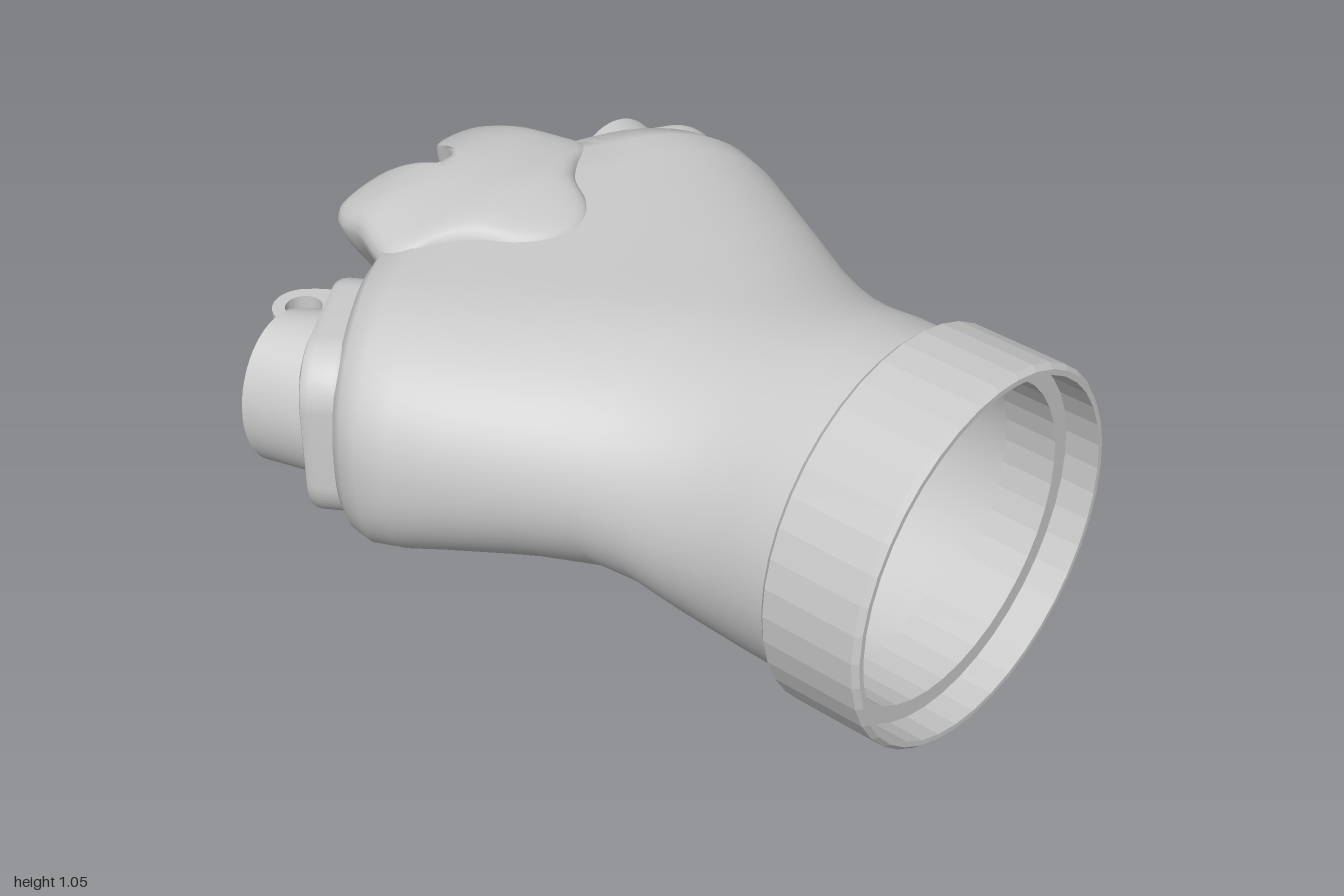
import * as THREE from 'three';
import { toCreasedNormals } from 'three/addons/utils/BufferGeometryUtils.js';

const material = new THREE.MeshStandardMaterial({ color: 0xcccccc, side: THREE.DoubleSide });
const { smoothstep } = THREE.MathUtils;

function part(name, geometry, parent, crease = 0.6) {
  const mesh = new THREE.Mesh(toCreasedNormals(geometry, crease), material);
  mesh.name = name;
  parent.add(mesh);
  return mesh;
}

// Skin over rows of [x, y, z] points
function skin(rows) {
  const n = rows[0].length, index = [];
  for (let i = 0; i < rows.length - 1; i++)
    for (let j = 0; j < n - 1; j++) {
      const a = i * n + j, b = a + n;
      index.push(a, a + 1, b, b, a + 1, b + 1);
    }
  const g = new THREE.BufferGeometry();
  g.setAttribute('position', new THREE.Float32BufferAttribute(rows.flat(2), 3));
  g.setIndex(index);
  return g;
}

// Body sections: side z, half width, top, bottom, half length of flat, V amount, dip between branches
const SECTIONS = [
  [0.75, 0.48, 1.005, 0.04, 0, 0, 0],
  [0.55, 0.48, 1.0, 0.045, 0, 0, 0],
  [0.45, 0.485, 0.985, 0.06, 0, 0, 0],
  [0.35, 0.51, 0.97, 0.1, 0, 0, 0],
  [0.25, 0.545, 0.955, 0.165, 0, 0, 0],
  [0.15, 0.585, 0.945, 0.205, 0.03, 0.03, 0],
  [0, 0.665, 0.935, 0.22, 0.15, 0.15, 0],
  [-0.15, 0.745, 0.925, 0.215, 0.28, 0.4, 0],
  [-0.28, 0.81, 0.92, 0.205, 0.4, 0.7, 0],
  [-0.36, 0.832, 0.92, 0.2, 0.45, 0.88, 0],
  [-0.42, 0.828, 0.91, 0.215, 0.45, 1, 0.07],
  [-0.46, 0.812, 0.88, 0.25, 0.45, 1, 0.18],
  [-0.48, 0.79, 0.85, 0.29, 0.46, 1, 0.3],
];
const SLOPE = 0.62, INNER_X = 0.25;

// Point on a section at an angle; the section bends back in a V towards the middle
function sectionPoint([z, w, top, bottom, flat, v, dip], angle, inset = 0) {
  const hw = w - inset, h = (top - bottom) / 2 - inset, power = 2 + 0.4 * v;
  const x = hw * Math.cos(angle), ax = Math.abs(x), f = Math.max(flat - inset, 0);
  const d = Math.max(0, (ax - f) / (hw - f));
  const y = Math.sign(Math.sin(angle)) * h * Math.max(0, 1 - d ** power) ** (1 / power);
  return [x, (top + bottom) / 2 + y * (1 - dip * smoothstep(0.52 - ax, 0, 0.3)),
    z - v * SLOPE * (hw - Math.max(ax, INNER_X))];
}

function bodyShell(inset) {
  return skin(SECTIONS.map(s => Array.from({ length: 97 }, (_, i) =>
    sectionPoint(s, (inset ? 1 : -1) * i / 96 * Math.PI * 2, inset))));
}

function roundedSquare(h, r) {
  const s = new THREE.Shape();
  for (let i = 0; i < 4; i++) {
    const a = i * Math.PI / 2, c = Math.SQRT2 * (h - r);
    s.absarc(c * Math.cos(a + Math.PI / 4), c * Math.sin(a + Math.PI / 4), r, a, a + Math.PI / 2);
  }
  return s;
}

function hole(x, y, rx, ry = rx) {
  return new THREE.Path().absellipse(x, y, rx, ry, 0, Math.PI * 2, true);
}

// Slanted end face, socket flange, shroud and hinge eye of the left branch
function branch() {
  const side = new THREE.Group();
  const last = SECTIONS[SECTIONS.length - 1], limit = Math.acos(INNER_X / last[1]);
  const outline = Array.from({ length: 49 }, (_, i) => {
    const p = sectionPoint(last, -limit + (i / 48) * 2 * limit);
    return new THREE.Vector2(p[0], p[1]);
  });
  const face = new THREE.Shape(outline);
  face.holes.push(hole(0.56, 0.575, 0.18, 0.205));
  const faceGeo = new THREE.ShapeGeometry(face, 32);
  const fp = faceGeo.attributes.position;
  for (let i = 0; i < fp.count; i++) fp.setZ(i, -0.48 - SLOPE * (0.79 - fp.getX(i)));
  part('branchEndFace', faceGeo, side);

  const socket = new THREE.Group();
  socket.name = 'socket';
  socket.position.set(0.56, 0.575, -0.623);
  socket.rotation.y = Math.atan2(SLOPE, -1);
  side.add(socket);

  const plate = roundedSquare(0.262, 0.15);
  plate.holes.push(hole(0, 0, 0.205));
  for (const x of [-1, 1]) for (const y of [-1, 1]) plate.holes.push(hole(x * 0.18, y * 0.18, 0.022));
  const flange = new THREE.ExtrudeGeometry(plate, {
    depth: 0.06, bevelThickness: 0.03, bevelSize: 0.018, bevelOffset: -0.018, bevelSegments: 3, curveSegments: 20,
  });
  part('socketFlange', flange, socket);

  // Thin curved shroud with an oblique rim, open towards the middle
  const rows = [];
  for (let i = 0; i <= 48; i++) {
    const a = (i / 48 - 0.5) * 4.7, c = Math.cos(a), s = Math.sin(a);
    const wall = (r, tip) => {
      const x = tip ? 0.015 - (r - 0.06) * c : -r * c;
      return [x, r * s, tip ? 0.27 - 0.43 * (x + 0.13) : 0.06];
    };
    rows.push([wall(0.222), wall(0.222, 1), wall(0.203, 1), wall(0.203), wall(0.222)]);
  }
  part('socketShroud', skin(rows), socket);

  // Upright hinge eye with a short arm
  const eye = new THREE.Shape();
  eye.absarc(0.475, 0.915, 0.085, -0.95, 2.5, false);
  eye.quadraticCurveTo(0.37, 0.93, 0.33, 0.84);
  eye.lineTo(0.38, 0.72);
  eye.lineTo(0.46, 0.785);
  eye.closePath();
  eye.holes.push(hole(0.475, 0.915, 0.05));
  const eyeGeo = new THREE.ExtrudeGeometry(eye, { depth: 0.23, bevelEnabled: false, curveSegments: 32 });
  part('hingeEye', eyeGeo.rotateX(-Math.PI / 2).translate(0, 0.455, 0), side);
  return side;
}

// Four-lobed rear guard: stacked outlines, waisted and grooved at mid height, with crowned caps
function rearGuard() {
  const half = [[0.08, 0.375], [0.14, 0.43], [0.2, 0.53], [0.28, 0.59], [0.365, 0.63], [0.39, 0.67],
    [0.37, 0.74], [0.33, 0.85], [0.31, 0.94], [0.275, 0.98], [0.12, 0.98], [0.085, 0.96], [0.06, 0.88], [0.03, 0.85]];
  const loop = [[0, 0.355], ...half, [0, 0.845], ...half.map(([x, z]) => [-x, z]).reverse()];
  const curve = new THREE.CatmullRomCurve3(loop.map(([x, z]) => new THREE.Vector3(x, 0, -z)), true);
  const points = curve.getPoints(150), centre = -0.66;
  const cap = [[0.001, 1], [0.2, 1], [0.4, 1], [0.6, 1], [0.75, 0.998], [0.85, 0.99], [0.92, 0.975], [0.97, 0.945], [1, 0.88]];
  const levels = cap.map(([s, t]) => [s, -t]);
  for (let i = 1; i < 44; i++) levels.push([1, (i / 22 - 1) * 0.88]);
  levels.push(...cap.reverse());
  return skin(levels.map(([s, t]) => points.map(p => {
    const x = p.x * s, z = centre + (p.z - centre) * s, at = Math.abs(t);
    const groove = 0.42 * (1 - smoothstep(at, 0.05, 0.18));
    const depth = 1 - 0.2 * (1 - t * t) - groove;
    const drop = 0.09 * smoothstep(z, -0.62, -0.36) + 0.11 * smoothstep(-z, 0.8, 1) + x * x;
    return [x * (0.68 + 0.32 * smoothstep(at, 0.15, 0.88)), 0.58 + 0.395 * t * (1 - drop),
      z < -0.7 ? -0.7 + (z + 0.7) * depth : z];
  })));
}

export function createModel() {
  const model = new THREE.Group();
  model.name = 'forkedHousing';

  part('bodyOuter', bodyShell(0), model, 0.9);
  part('bodyInner', bodyShell(0.037), model, 0.9);

  // Front collar with a stepped bore
  const profile = [[0.445, 0.7], [0.508, 0.7], [0.523, 0.715], [0.523, 0.985], [0.51, 1], [0.495, 1],
    [0.495, 0.9], [0.445, 0.9], [0.445, 0.7]].map(([r, z]) => new THREE.Vector2(r, z));
  const collar = new THREE.LatheGeometry(profile, 40).rotateX(Math.PI / 2).translate(0, 0.523, 0);
  part('frontCollar', collar, model, 0.1);

  // Inner dividing wall between the branches, concave and flaring into ceiling and floor
  const wall = [];
  for (let i = 0; i <= 24; i++) {
    const y = 0.23 + (i / 24) * 0.67;
    const flare = 0.3 * Math.max(0, (0.45 - y) / 0.22) ** 2 + 0.25 * Math.max(0, (y - 0.6) / 0.3) ** 2;
    wall.push(Array.from({ length: 41 }, (_, j) => {
      const a = (j / 40) * Math.PI, s = Math.max(0, Math.sin(a)) ** 0.4;
      return [-INNER_X * Math.cos(a), 0.575 + (y - 0.575) * (0.5 + 0.5 * s), -0.79 + (0.4 + flare) * s];
    }));
  }
  part('dividingWall', skin(wall), model, 0.9);

  const web = new THREE.BoxGeometry(2 * INNER_X + 0.03, 0.4, 0.04).translate(0, 0.57, -0.8);
  part('rearWeb', web, model);
  part('rearGuard', rearGuard(), model, 0.8);

  for (const [name, sx] of [['leftBranch', 1], ['rightBranch', -1]]) {
    const side = branch();
    side.name = name;
    side.scale.x = sx;
    model.add(side);
  }
  return model;
}
